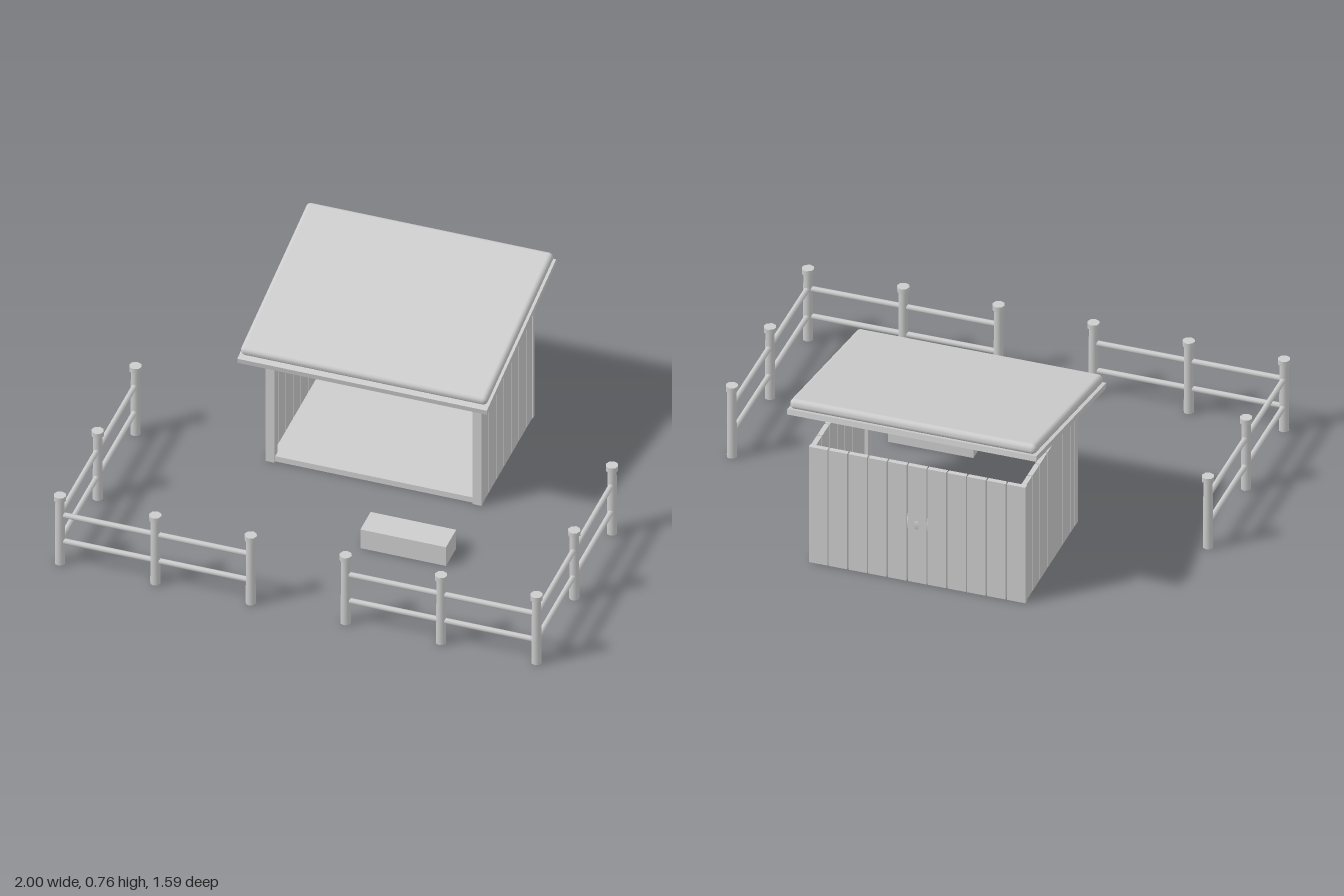
import * as THREE from 'three';
import { RoundedBoxGeometry } from 'three/addons/geometries/RoundedBoxGeometry.js';

export function createModel() {
  const root = new THREE.Group();
  root.name = 'shedAndPaddock';
  const grey = new THREE.MeshStandardMaterial({ color: 0xcccccc });
  grey.name = 'lightGrey';

  function add(parent, name, geometry, x, y, z) {
    const mesh = new THREE.Mesh(geometry, grey);
    mesh.name = name;
    mesh.position.set(x, y, z);
    parent.add(mesh);
    return mesh;
  }
  const box = (parent, name, w, h, d, x, y, z) =>
    add(parent, name, new THREE.BoxGeometry(w, h, d), x, y, z);

  // Round bar between two points
  function bar(parent, name, a, b, radius) {
    const from = new THREE.Vector3(...a), to = new THREE.Vector3(...b);
    const dir = to.clone().sub(from);
    const mid = from.clone().add(to).multiplyScalar(0.5);
    const mesh = add(parent, name,
      new THREE.CylinderGeometry(radius, radius, dir.length(), 8), mid.x, mid.y, mid.z);
    mesh.quaternion.setFromUnitVectors(new THREE.Vector3(0, 1, 0), dir.normalize());
  }

  function group(name) {
    const g = new THREE.Group();
    g.name = name;
    root.add(g);
    return g;
  }

  // Shed: floor, plank walls and front posts
  const shed = group('shed');
  const wallH = 0.53, gap = 0.005, thick = 0.02;
  box(shed, 'floor', 0.85, 0.025, 0.59, 0, 0.0125, -0.415);
  const backPitch = 0.081;
  for (let i = -5; i <= 5; i++) {
    box(shed, 'backPlank', backPitch - gap, wallH, thick, i * backPitch, wallH / 2, -0.72);
  }
  const sidePitch = 0.0885;
  for (const s of [-1, 1]) {
    for (let i = 0; i < 7; i++) {
      box(shed, 'sidePlank', thick, wallH, sidePitch - gap,
        s * 0.43, wallH / 2, -0.111 - (i + 0.5) * sidePitch);
    }
    box(shed, 'frontPost', 0.036, 0.572, 0.036, s * 0.423, 0.286, -0.129);
  }

  // Sloping roof: thin board with a rounded slab on top
  const roof = group('roof');
  const slope = 0.19;
  box(roof, 'roofBoard', 1.02, 0.023, 0.828, 0, 0.636, -0.386).rotation.x = slope;
  add(roof, 'roofSlab', new RoundedBoxGeometry(1.008, 0.042, 0.812, 4, 0.019),
    0, 0.67, -0.388).rotation.x = slope;

  // Hay rack on the back wall
  const rack = group('hayRack');
  for (const y of [0.153, 0.31]) {
    bar(rack, 'rackRail', [-0.17, y, -0.68], [0.17, y, -0.68], 0.008);
  }
  for (let i = 0; i < 9; i++) {
    const x = -0.16 + i * 0.04;
    bar(rack, 'rackBar', [x, 0.153, -0.68], [x, 0.31, -0.66], 0.004);
  }
  const hayShape = new THREE.SphereGeometry(1, 14, 10);
  hayShape.rotateZ(Math.PI / 2);
  hayShape.scale(0.17, 0.085, 0.093);
  add(rack, 'hay', hayShape, 0.003, 0.263, -0.64);

  // Feed trough in front of the shed
  box(root, 'trough', 0.35, 0.09, 0.12, 0.265, 0.045, 0.24);

  // Fence: one run of posts and rails on each side, open at the front
  const fence = group('fence');
  const run = [[0.974, -0.115], [0.974, 0.328], [0.974, 0.77], [0.584, 0.77], [0.194, 0.77]];
  for (const s of [-1, 1]) {
    run.forEach(([x, z], i) => {
      add(fence, 'fencePost', new THREE.CylinderGeometry(0.019, 0.021, 0.305, 8), s * x, 0.1525, z);
      add(fence, 'postCap', new THREE.CylinderGeometry(0.025, 0.025, 0.022, 8), s * x, 0.314, z);
      if (i === 0) return;
      const [px, pz] = run[i - 1];
      for (const y of [0.108, 0.233]) {
        bar(fence, 'fenceRail', [s * px, y, pz], [s * x, y, z], 0.0115);
      }
    });
  }
  return root;
}
